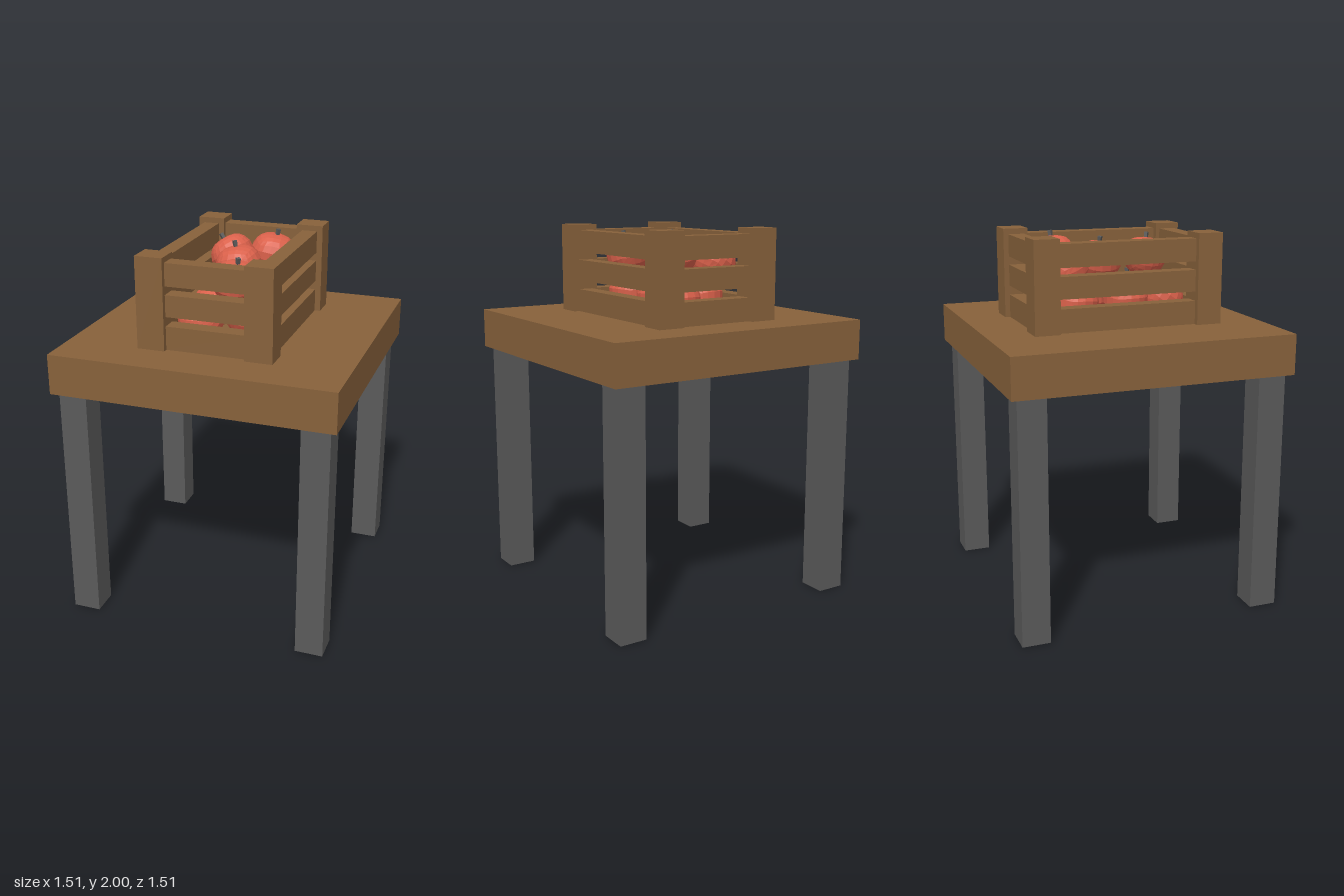
import * as THREE from 'three';

const mat = (name, color) => Object.assign(new THREE.MeshStandardMaterial({ color }), { name });

export function createModel() {
  const wood = mat('brown wood', 0x87613b);
  const metal = mat('dark grey', 0x5a5a5a);
  const red = mat('apple red', 0xdb614b);
  const model = new THREE.Group();
  model.name = 'tableWithAppleCrate';

  const box = (parent, name, material, w, h, d, x, y, z) => {
    const mesh = new THREE.Mesh(new THREE.BoxGeometry(w, h, d), material);
    mesh.name = name;
    mesh.position.set(x, y, z);
    parent.add(mesh);
  };

  // Table: thick square top on four square legs
  const table = new THREE.Group();
  table.name = 'table';
  model.add(table);
  box(table, 'tableTop', wood, 1.51, 0.215, 1.51, 0, 1.4075, 0);
  for (const sx of [-1, 1])
    for (const sz of [-1, 1])
      box(table, 'tableLeg', metal, 0.15, 1.3, 0.15, sx * 0.645, 0.65, sz * 0.645);

  // Crate: corner posts joined by three rows of slats
  const crate = new THREE.Group();
  crate.name = 'crate';
  model.add(crate);
  for (const sx of [-1, 1])
    for (const sz of [-1, 1])
      box(crate, 'cratePost', wood, 0.148, 0.485, 0.137, sx * 0.288, 1.7575, sz * 0.449);
  for (const [low, high] of [[1.515, 1.64], [1.69, 1.805], [1.85, 1.97]]) {
    const h = high - low, y = (low + high) / 2;
    for (const s of [-1, 1]) {
      box(crate, 'endSlat', wood, 0.45, h, 0.088, 0, y, s * 0.446);
      box(crate, 'sideSlat', wood, 0.085, h, 0.78, s * 0.288, y, 0);
    }
  }

  // Apple body: faceted rounded cube, dished on top and narrower below
  const body = new THREE.BoxGeometry(2, 2, 2, 5, 5, 5);
  const p = body.attributes.position;
  const v = new THREE.Vector3();
  for (let i = 0; i < p.count; i++) {
    v.fromBufferAttribute(p, i).normalize();
    const r = Math.hypot(v.x, v.z);
    const taper = v.y < 0 ? 1 + 0.12 * v.y : 1;
    const dish = v.y > 0 ? 0.14 * Math.max(0, 1 - r / 0.65) : 0;
    p.setXYZ(i, v.x * taper * 0.126, (v.y - dish) * 0.117, v.z * taper * 0.126);
  }
  const bodyGeometry = body.toNonIndexed();
  bodyGeometry.computeVertexNormals();
  const stemGeometry = new THREE.CylinderGeometry(0.014, 0.011, 0.05, 4).toNonIndexed();
  stemGeometry.computeVertexNormals();

  // Apples: x, y, z, then turn and tilt
  const apples = new THREE.Group();
  apples.name = 'apples';
  model.add(apples);
  const places = [
    [-0.09, 1.63, -0.21, 0.3, 0.1, 0],
    [0.11, 1.63, -0.29, 0.1, 0, 0],
    [0.08, 1.63, -0.08, 0.5, 0, 0],
    [-0.1, 1.64, 0.07, 0.1, 0, 0.08],
    [0.115, 1.635, 0.165, 0.2, 0, 0],
    [-0.1, 1.635, 0.28, 0.1, 0.6, 0],
    [-0.125, 1.825, -0.28, 0.4, -0.15, 0.6],
    [0.115, 1.86, -0.27, 0.3, -0.05, -0.2],
    [-0.01, 1.835, -0.05, 0.03, 0, 0.18],
    [0.08, 1.835, 0.255, -0.1, 0.15, -0.15],
  ];
  for (const [x, y, z, turn, tiltX, tiltZ] of places) {
    const apple = new THREE.Group();
    apple.name = 'apple';
    const flesh = new THREE.Mesh(bodyGeometry, red);
    flesh.name = 'appleBody';
    const stem = new THREE.Mesh(stemGeometry, metal);
    stem.name = 'appleStem';
    stem.position.y = 0.11;
    flesh.rotation.y = turn;
    apple.add(flesh, stem);
    apple.position.set(x, y, z);
    apple.rotation.set(tiltX, 0, tiltZ);
    apples.add(apple);
  }
  return model;
}
